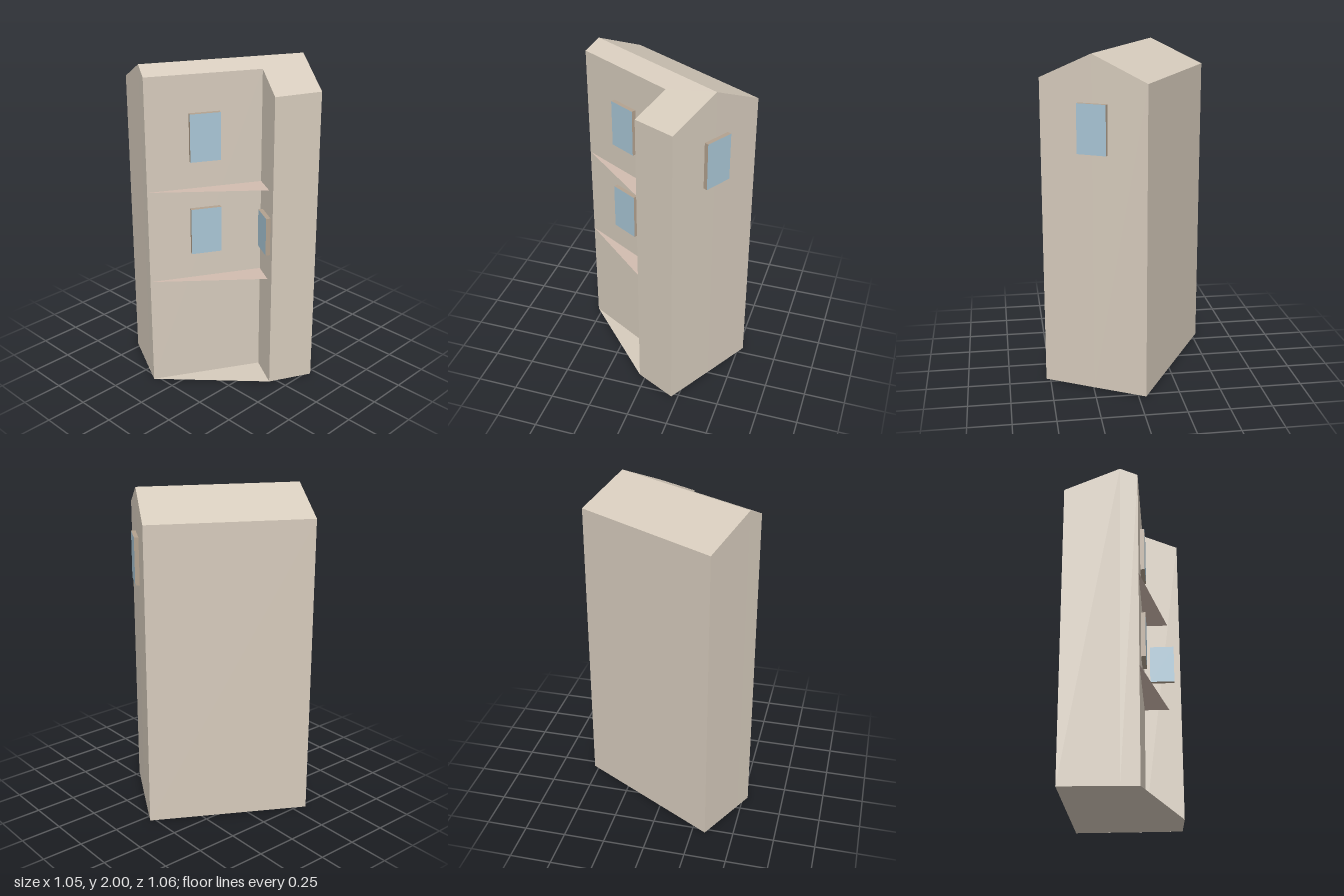
import * as THREE from 'three';

// plan corners as [x, z], listed counter-clockwise seen from above
const A = [-0.045, -0.53], B = [-0.53, 0.33], C = [-0.135, 0.53], D = [0.203, -0.07];
const E = [0.4, 0.04], F = [0.525, -0.21];
const R1 = [-0.23, 0.481], R2 = [0.246, -0.368]; // ridge ends

// roof height falls evenly with the distance from the ridge
const ridge = new THREE.Vector2(R2[0] - R1[0], R2[1] - R1[1]).normalize();
function roofHeight([x, z]) {
  const d = (x - R1[0]) * -ridge.y + (z - R1[1]) * ridge.x;
  return 2 - 0.45 * Math.abs(d);
}

const material = (color) =>
  new THREE.MeshStandardMaterial({ color, side: THREE.DoubleSide, flatShading: true });
const plaster = material(0xd6cbbc);
const slabStone = material(0xd2bcb0);
const frameBrown = material(0xb3a28f);
const glass = material(0xa9c6d6);

// horizontal panel over a plan outline, lifted by a height rule
function panel(name, points, heightAt, mat) {
  const shape = new THREE.Shape(points.map(([x, z]) => new THREE.Vector2(x, -z)));
  const geometry = new THREE.ShapeGeometry(shape).rotateX(-Math.PI / 2);
  const pos = geometry.attributes.position;
  for (let i = 0; i < pos.count; i++) pos.setY(i, heightAt([pos.getX(i), pos.getZ(i)]));
  geometry.computeVertexNormals();
  const mesh = new THREE.Mesh(geometry, mat);
  mesh.name = name;
  return mesh;
}

// upright walls following the outline up to the roof
function walls(points) {
  const v = [];
  points.forEach((p, i) => {
    const q = points[(i + 1) % points.length];
    const hp = roofHeight(p), hq = roofHeight(q);
    v.push(p[0], 0, p[1], q[0], 0, q[1], q[0], hq, q[1]);
    v.push(p[0], 0, p[1], q[0], hq, q[1], p[0], hp, p[1]);
  });
  const geometry = new THREE.BufferGeometry();
  geometry.setAttribute('position', new THREE.Float32BufferAttribute(v, 3));
  geometry.computeVertexNormals();
  const mesh = new THREE.Mesh(geometry, plaster);
  mesh.name = 'walls';
  return mesh;
}

// window box standing proud of the middle of the wall from p to q
function wallWindow(name, p, q, y, width, height) {
  const depth = 0.027;
  const dx = q[0] - p[0], dz = q[1] - p[1];
  const group = new THREE.Group();
  group.name = name;
  const mats = [frameBrown, frameBrown, frameBrown, frameBrown, glass, frameBrown];
  const box = new THREE.Mesh(new THREE.BoxGeometry(width, height, depth), mats);
  box.name = 'windowPane';
  box.position.z = depth / 2;
  group.add(box);
  group.position.set((p[0] + q[0]) / 2, y, (p[1] + q[1]) / 2);
  group.rotation.y = Math.atan2(-dz, dx);
  return group;
}

export function createModel() {
  const model = new THREE.Group();
  model.name = 'house';

  // shell
  model.add(walls([A, B, R1, C, D, E, F, R2]));
  model.add(panel('roofLong', [A, B, R1, R2], roofHeight, plaster));
  model.add(panel('roofShort', [R1, C, D, E, F, R2], roofHeight, plaster));
  model.add(panel('groundFloor', [A, B, C, E, F], () => 0, plaster));

  // thin triangular balconies in the recess
  const G = [D[0] + (E[0] - D[0]) * 0.67, D[1] + (E[1] - D[1]) * 0.67];
  [0.69, 1.27].forEach((y) => model.add(panel('balconySlab', [C, G, D], () => y, slabStone)));

  // windows
  [1.0, 1.583].forEach((y) => model.add(wallWindow('recessWindow', C, D, y, 0.182, 0.288)));
  model.add(wallWindow('sideWindow', D, E, 0.987, 0.15, 0.238));
  model.add(wallWindow('gableWindow', F, A, 1.583, 0.178, 0.288));
  return model;
}
